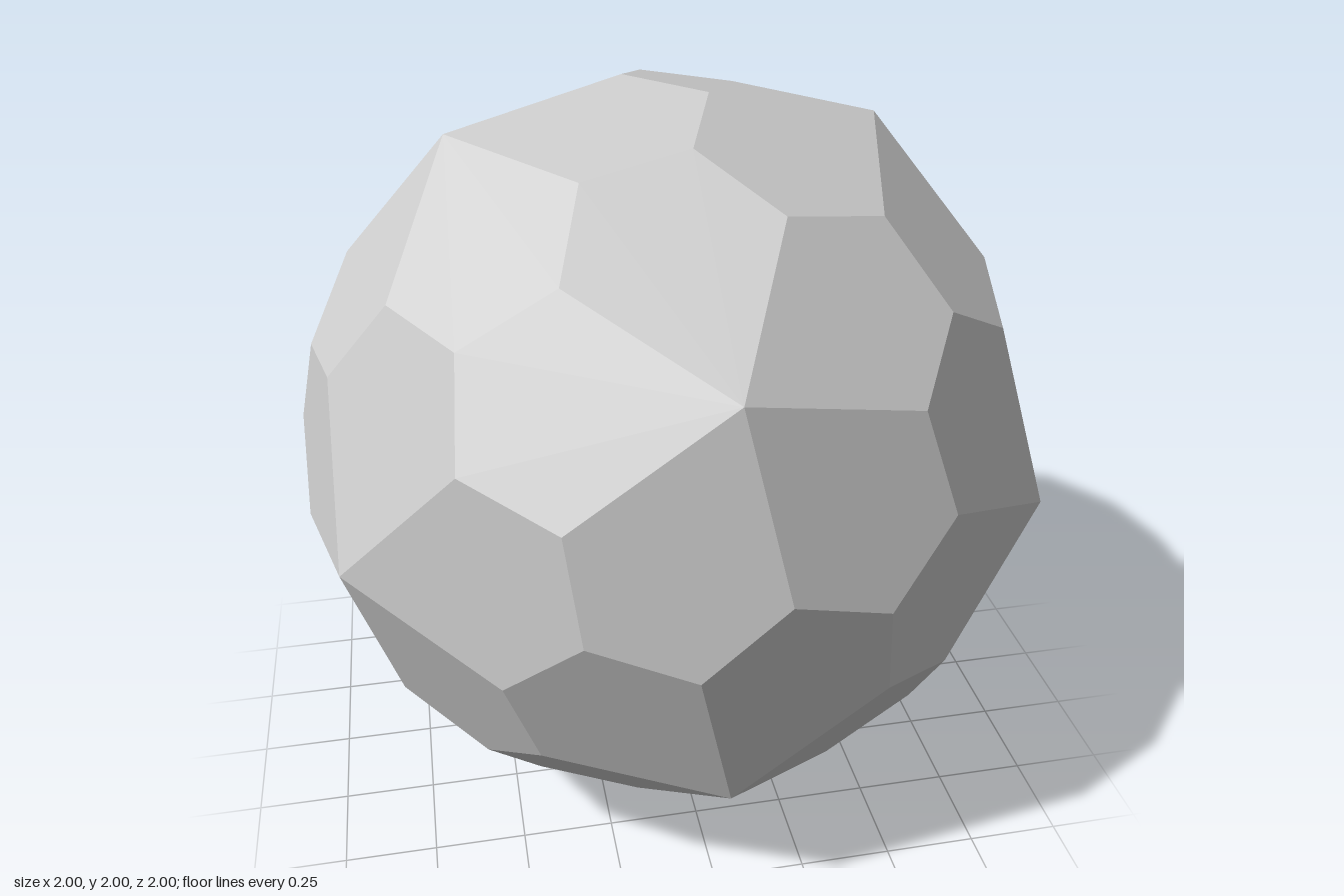
import * as THREE from 'three';

// Faceted ball of 60 irregular pentagons (pentagonal hexecontahedron),
// made of 12 identical caps of five pentagons around a sharp five-way corner.
const PHI = (1 + Math.sqrt(5)) / 2;

// One cap: a pentagon turned five times about the corner's axis
function capGeometry() {
  const axis = new THREE.Vector3(0, 1, PHI).normalize();
  const tip = axis.clone().multiplyScalar(1.0586);
  const p = new THREE.Vector3(0.1042, 0.09195, 1);
  const opposite = new THREE.Vector3(-p.x, -p.y, p.z);
  const threeWay = new THREE.Vector3(-1, 0, PHI * PHI).setLength(1.00961);
  const turned = p.clone().applyAxisAngle(axis, -Math.PI * 0.4);
  const pentagon = [tip, turned, threeWay, opposite, p];

  const points = [];
  for (let k = 0; k < 5; k++) {
    const c = pentagon.map(v => v.clone().applyAxisAngle(axis, k * Math.PI * 0.4));
    for (let i = 1; i < 4; i++) points.push(c[0], c[i], c[i + 1]);
  }
  const geometry = new THREE.BufferGeometry().setFromPoints(points);
  geometry.computeVertexNormals();
  return geometry;
}

export function createModel() {
  const model = new THREE.Group();
  model.name = 'facetedBall';
  const geometry = capGeometry();
  const material = new THREE.MeshStandardMaterial({ color: 0xcccccc, flatShading: true });

  // Half turns about x, y and z, combined with third turns about the diagonal
  const diagonal = new THREE.Vector3(1, 1, 1).normalize();
  const halfTurns = [[0, 0, 0, 1], [1, 0, 0, 0], [0, 1, 0, 0], [0, 0, 1, 0]];
  for (const half of halfTurns) {
    for (let k = 0; k < 3; k++) {
      const cap = new THREE.Mesh(geometry, material);
      cap.name = `pentagonCap${model.children.length + 1}`;
      cap.quaternion.setFromAxisAngle(diagonal, k * Math.PI * 2 / 3)
        .premultiply(new THREE.Quaternion(...half));
      cap.position.y = 1;
      model.add(cap);
    }
  }
  return model;
}
